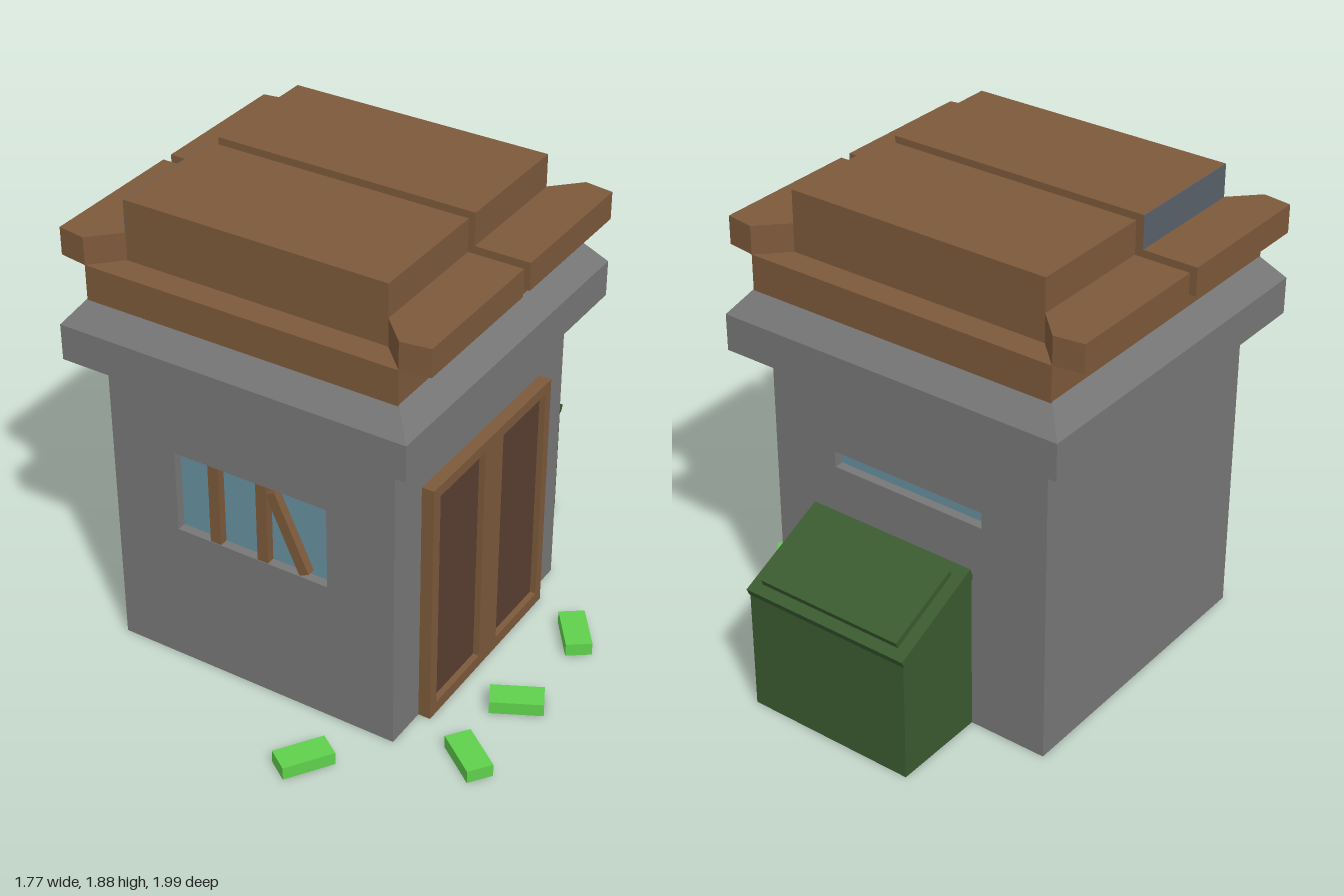
import * as THREE from 'three';

const mat = (color, extra = {}) => new THREE.MeshStandardMaterial({ color, flatShading: true, ...extra });
const STONE = mat(0x777777), WOOD = mat(0x7d593b), PANEL = mat(0x5a3e31), GLASS = mat(0x66909f);
const GREEN = mat(0x3a5a30), LIME = mat(0x5fd04c), SLATE = mat(0x5a626a);

function add(parent, name, geometry, material) {
  const mesh = new THREE.Mesh(geometry, material);
  mesh.name = name;
  parent.add(mesh);
  return mesh;
}

// Box given by its minimum and maximum on each axis
function box(parent, name, material, [x0, x1], [y0, y1], [z0, z1]) {
  const mesh = add(parent, name, new THREE.BoxGeometry(x1 - x0, y1 - y0, z1 - z0), material);
  mesh.position.set((x0 + x1) / 2, (y0 + y1) / 2, (z0 + z1) / 2);
  return mesh;
}

const poly = (pts) => new THREE.Shape(pts.map(([x, y]) => new THREE.Vector2(x, y)));
const rect = (x0, x1, y0, y1) => poly([[x0, y0], [x1, y0], [x1, y1], [x0, y1]]);

// Slab in the xy plane with rectangular holes
function slab(outer, holes, depth) {
  const shape = rect(...outer);
  shape.holes = holes.map((h) => rect(...h));
  return new THREE.ExtrudeGeometry(shape, { depth, bevelEnabled: false });
}

function createWalls(root) {
  const g = new THREE.Group();
  g.name = 'walls';
  root.add(g);
  const X = [-0.735, 0.48], H = 1.215, recess = 0.04;
  box(g, 'wallCore', STONE, X, [0, H], [-0.6 + recess, 0.615 - recess]);
  // Pierced outer layers form the window recesses
  add(g, 'frontWall', slab([...X, 0, H], [[-0.455, 0.2, 0.6, 0.94]], recess), STONE).position.z = 0.615 - recess;
  add(g, 'backWall', slab([...X, 0, H], [[-0.46, 0.2, 0.87, 0.935]], recess), STONE).position.z = -0.6;
  box(g, 'frontGlass', GLASS, [-0.455, 0.2], [0.6, 0.94], [0.57, 0.578]);
  box(g, 'backGlass', GLASS, [-0.46, 0.2], [0.87, 0.935], [-0.563, -0.555]);
  // Window boards, the last one fallen askew
  for (const x of [-0.288, -0.08]) box(g, 'windowBoard', WOOD, [x - 0.023, x + 0.023], [0.6, 0.94], [0.575, 0.612]);
  const loose = box(g, 'looseBoard', WOOD, [0.007, 0.051], [0.595, 0.932], [0.575, 0.612]);
  loose.rotation.z = 0.43;
}

function createRoof(root) {
  const g = new THREE.Group();
  g.name = 'roof';
  g.position.set(-0.128, 0, 0.007);
  root.add(g);
  // Square stone cornice
  const profile = [[0.6075, 1.215], [0.718, 1.27], [0.718, 1.415], [0.643, 1.51]];
  const cornice = new THREE.LatheGeometry(profile.map(([r, y]) => new THREE.Vector2(r * Math.SQRT2, y)), 4);
  add(g, 'cornice', cornice.rotateY(Math.PI / 4), STONE);
  box(g, 'roofBase', WOOD, [-0.643, 0.643], [1.505, 1.645], [-0.647, 0.647]);
  // Two roof halves with chamfered side wings
  for (const sz of [-1, 1]) {
    const z = [0.0235 * sz, 0.541 * sz].sort((a, b) => a - b);
    box(g, 'roofBlock', WOOD, [-0.538, 0.538], [1.645, 1.885], z);
    for (const sx of [-1, 1]) {
      const plan = [[0.53, 0.0235], [0.758, 0.0235], [0.758, 0.63], [0.643, 0.647], [0.538, 0.541], [0.53, 0.541]];
      const wing = new THREE.ExtrudeGeometry(poly(plan.map(([x, d]) => [x * sx, -d * sz])), { depth: 0.11, bevelEnabled: false });
      add(g, 'roofWing', wing.rotateX(-Math.PI / 2), WOOD).position.y = 1.645;
    }
  }
  // Dark end face of one roof block
  box(g, 'roofEndFace', SLATE, [-0.54, -0.537], [1.755, 1.885], [0.0235, 0.541]);
}

function createDoor(root) {
  const g = new THREE.Group();
  g.name = 'door';
  root.add(g);
  // Frame drawn with -z to the right, then turned to face +x
  const holes = [[-0.39, -0.075, 0.05, 0.99], [0.055, 0.375, 0.05, 0.99]];
  const frame = slab([-0.435, 0.415, 0, 1.035], holes, 0.05).rotateY(Math.PI / 2);
  add(g, 'doorFrame', frame, WOOD).position.x = 0.48;
  for (const [a, b, y0, y1] of holes) box(g, 'doorPanel', PANEL, [0.47, 0.505], [y0, y1], [-b, -a]);
}

function createBin(root) {
  const g = new THREE.Group();
  g.name = 'bin';
  root.add(g);
  // Side profiles as [distance behind centre, height], extruded along x
  const prism = (name, pts, x0, x1) => {
    const geo = new THREE.ExtrudeGeometry(poly(pts), { depth: x1 - x0, bevelEnabled: false }).rotateY(Math.PI / 2);
    add(g, name, geo, GREEN).position.x = x0;
  };
  prism('binBody', [[0.595, 0], [0.985, 0], [0.985, 0.49], [0.595, 0.65]], -0.415, 0.29);
  prism('binLid', [[0.595, 0.645], [0.985, 0.485], [0.998, 0.515], [0.613, 0.69]], -0.42, 0.295);
  prism('lidPanel', [[0.65, 0.66], [0.955, 0.525], [0.968, 0.557], [0.665, 0.692]], -0.37, 0.25);
}

export function createModel() {
  const root = new THREE.Group();
  root.name = 'hut';
  createWalls(root);
  createRoof(root);
  createDoor(root);
  createBin(root);
  // Loose bricks: centre x, z and direction of the long side
  const bricks = [[0.764, -0.268, 0.12, 0.165], [0.765, 0.198, 0.185, -0.095], [0.766, 0.557, 0.16, 0.118], [0.266, 0.882, 0.115, -0.17]];
  for (const [x, z, dx, dz] of bricks) {
    const brick = add(root, 'brick', new THREE.BoxGeometry(0.205, 0.053, 0.103), LIME);
    brick.position.set(x, 0.0265, z);
    brick.rotation.y = Math.atan2(-dz, dx);
  }
  return root;
}
